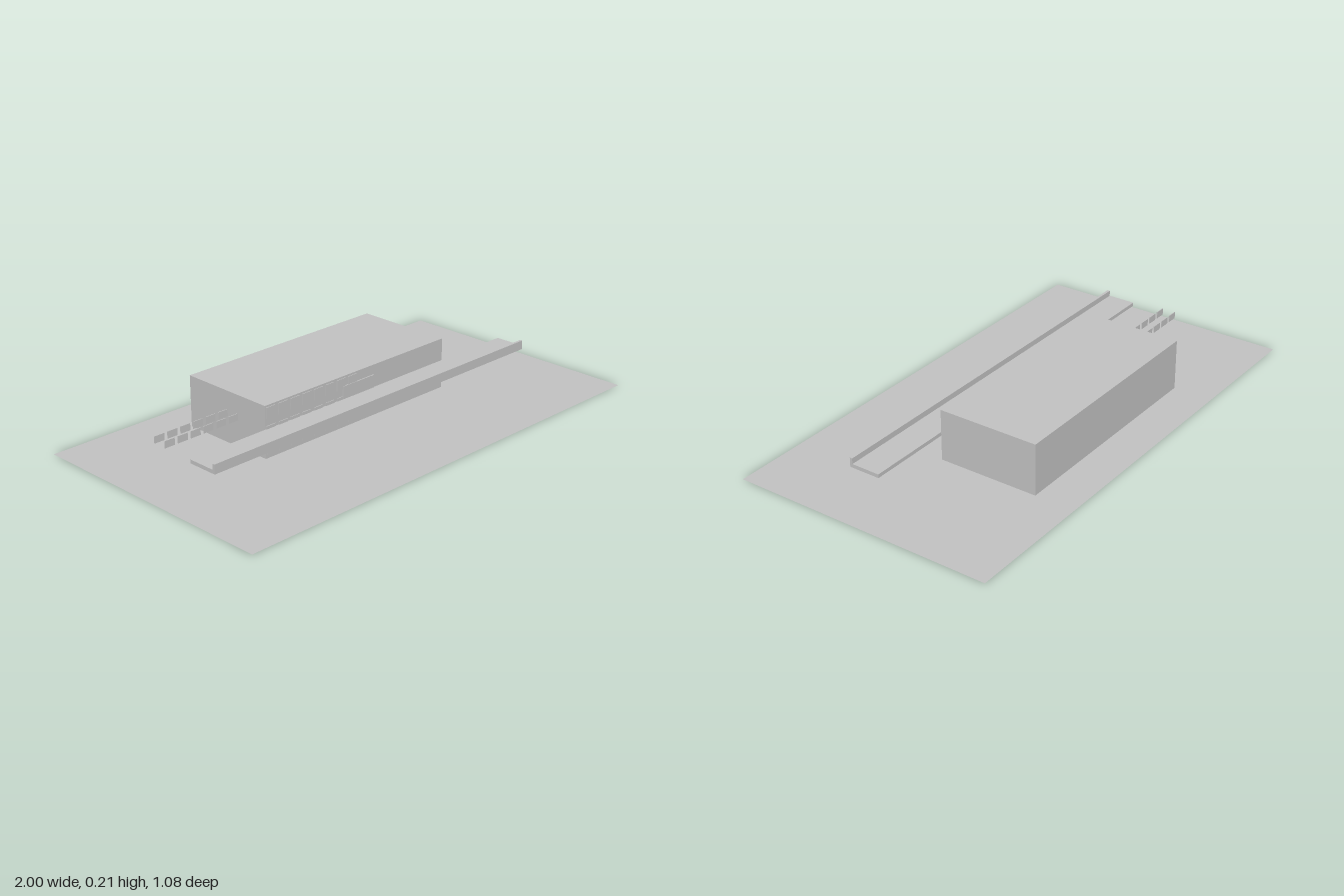
import * as THREE from 'three';

export function createModel() {
  const model = new THREE.Group();
  const concrete = new THREE.MeshStandardMaterial({ color: 0xbfbfbf, side: THREE.DoubleSide });
  concrete.name = 'pale grey';

  // Adds a box given by its lower and upper limits on each axis
  function addBox(name, [x0, x1], [y0, y1], [z0, z1], parent = model) {
    const geometry = new THREE.BoxGeometry(x1 - x0, y1 - y0, z1 - z0);
    const mesh = new THREE.Mesh(geometry, concrete);
    mesh.position.set((x0 + x1) / 2, (y0 + y1) / 2, (z0 + z1) / 2);
    mesh.name = name;
    parent.add(mesh);
  }

  // Adds a row of thin upright panes along x
  function addPanes(name, count, startX, [y0, y1], [z0, z1]) {
    const row = new THREE.Group();
    row.name = name;
    for (let i = 0; i < count; i++) {
      const x = startX + i * 0.06;
      addBox('pane', [x, x + 0.045], [y0, y1], [z0, z1], row);
    }
    model.add(row);
  }

  // Flat site
  const ground = new THREE.Mesh(new THREE.PlaneGeometry(2, 1.084), concrete);
  ground.rotation.x = -Math.PI / 2;
  ground.name = 'ground';
  model.add(ground);

  // Main block
  const wallZ = 0.042;
  addBox('building', [-0.48, 0.48], [0, 0.21], [-0.376, wallZ]);

  // Three storeys of front windows
  for (const y of [0.036, 0.107, 0.18]) {
    addPanes('windowRow', 8, -0.475, [y - 0.022, y + 0.022], [wallZ, wallZ + 0.003]);
  }

  // Plain panel over the entrance
  addBox('entrancePanel', [-0.085, 0.083], [0.118, 0.17], [wallZ, wallZ + 0.005]);

  // Long canopy with raised front lip
  addBox('canopySlab', [-0.833, 0.833], [0.102, 0.117], [wallZ, 0.171]);
  addBox('canopyLip', [-0.833, 0.833], [0.117, 0.14], [0.16, 0.171]);

  // Two rows of free panes beside the block
  for (const z of [-0.165, -0.107]) {
    addPanes('sidePaneRow', 6, -0.825, [0.108, 0.136], [z - 0.0015, z + 0.0015]);
  }

  return model;
}
